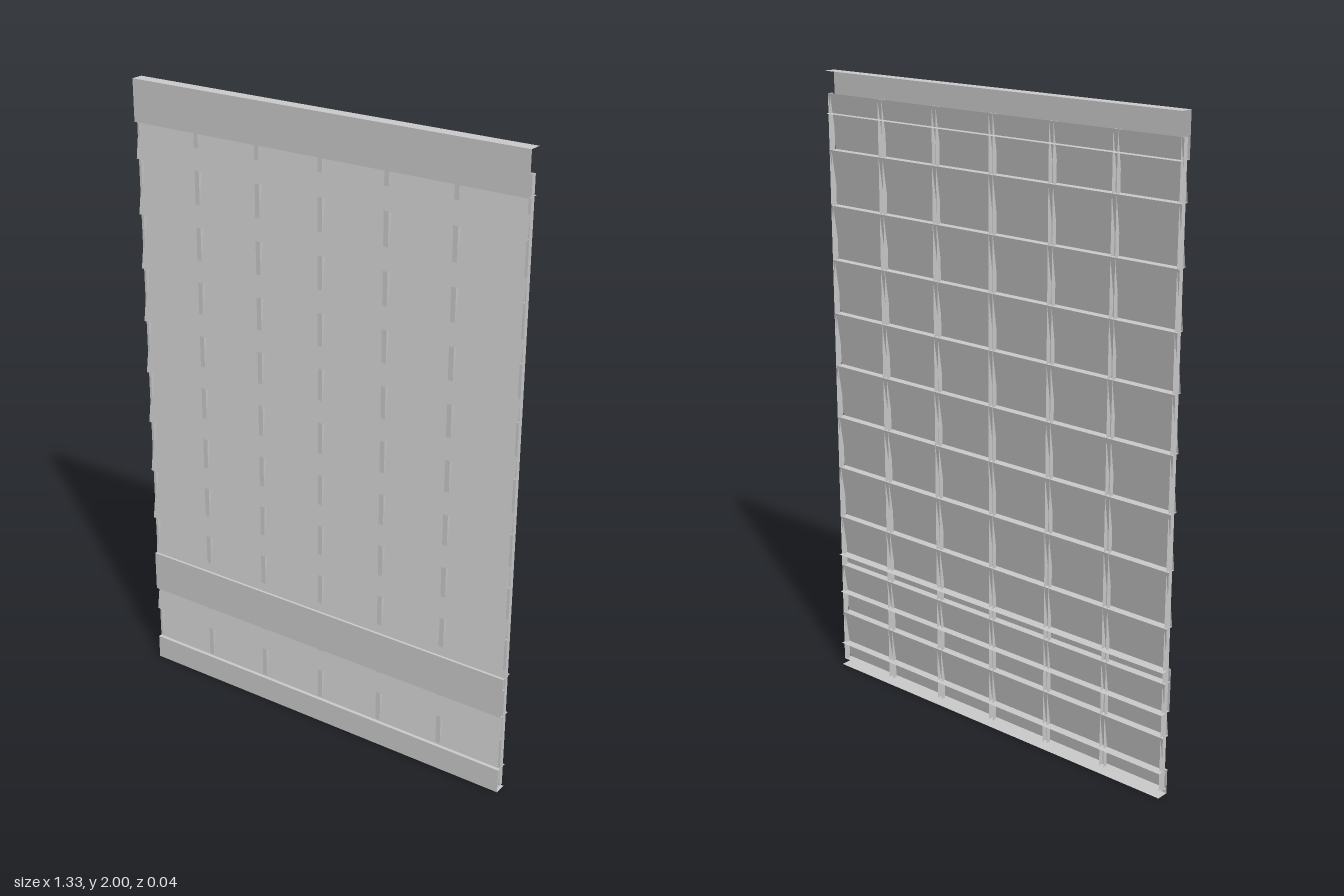
import * as THREE from 'three';

const material = new THREE.MeshStandardMaterial({ color: 0xcccccc, side: THREE.DoubleSide });
const HALF = 0.665;    // half width of the panel
const DEPTH = 0.02;    // half depth of the panel
const RIB = 0.008;     // half width and half depth of a rib

// Thin folded sheet: a polyline of [u, v] swept from a to b, with hard folds.
// place(u, v, t) turns profile and sweep coordinates into x, y, z.
function foldedSheet(name, profile, a, b, place) {
  const position = [];
  for (let i = 0; i + 1 < profile.length; i++) {
    const [p, q] = [profile[i], profile[i + 1]];
    const corners = [place(...p, a), place(...q, a), place(...q, b), place(...p, b)];
    for (const k of [0, 1, 2, 0, 2, 3]) position.push(...corners[k]);
  }
  const geometry = new THREE.BufferGeometry();
  geometry.setAttribute('position', new THREE.Float32BufferAttribute(position, 3));
  geometry.computeVertexNormals();
  const mesh = new THREE.Mesh(geometry, material);
  mesh.name = name;
  return mesh;
}

const alongX = (z, y, t) => [t, y, z];   // profile in z, y
const alongY = (x, z, t) => [x, t, z];   // profile in x, z

export function createModel() {
  const group = new THREE.Group();

  // Horizontal rails: channels with a front plate and flanges turned back
  const rails = [['topRail', 1.87, 2], ['middleRail', 0.27, 0.405], ['bottomRail', 0, 0.08]];
  for (const [name, low, high] of rails) {
    const profile = [[-DEPTH, low], [DEPTH, low], [DEPTH, high], [-DEPTH, high]];
    group.add(foldedSheet(name, profile, HALF, -HALF, alongX));
  }

  // Overlapping slats: one sawtooth sheet, each slat leaning out to its bottom lip
  const count = 11, pitch = 0.174, top = 1.931;
  const back = -RIB, front = 0.018;
  const slats = [];
  for (let i = 0; i < count; i++) {
    slats.push([back, top - i * pitch], [front, top - (i + 1) * pitch]);
  }
  slats.push([back, top - count * pitch]);
  group.add(foldedSheet('slats', slats, -HALF, HALF, alongX));

  // Vertical ribs: channels open at the back, the outer two cut at the panel edge
  for (let i = -3; i <= 3; i++) {
    const x = i * 0.2215;
    const left = Math.max(x - RIB, -HALF), right = Math.min(x + RIB, HALF);
    const profile = [[left, -RIB], [left, RIB], [right, RIB], [right, -RIB]];
    group.add(foldedSheet('rib', profile, top - count * pitch, top, alongY));
  }

  return group;
}
